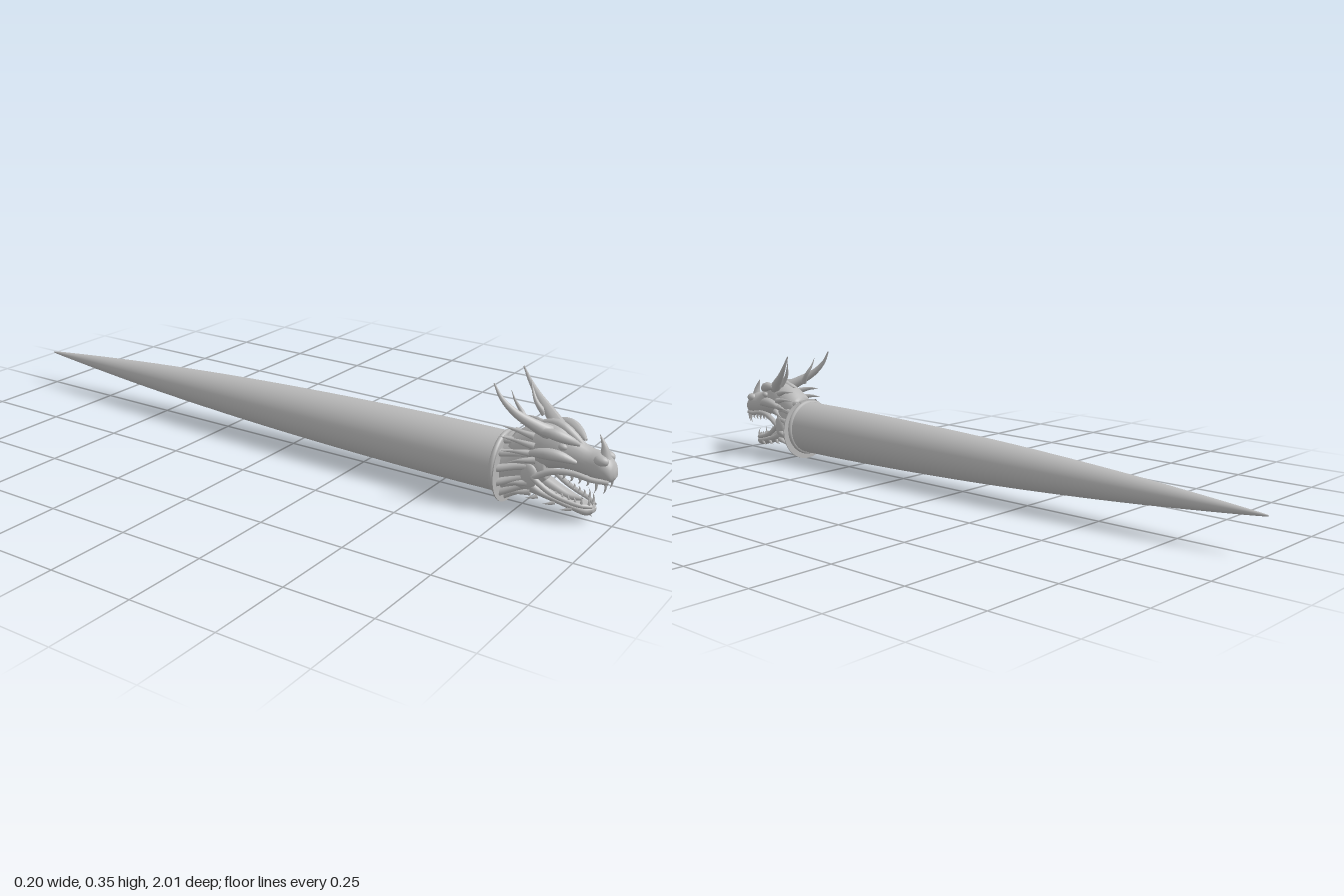
import * as THREE from 'three';

const stone = new THREE.MeshStandardMaterial({ color: 0xb8b8b8 });
stone.name = 'grey';
stone.side = THREE.DoubleSide;

const V = (x, y, z) => new THREE.Vector3(x, y, z);

function add(parent, name, geometry) {
  const m = new THREE.Mesh(geometry, stone);
  m.name = name;
  parent.add(m);
  return m;
}

// Smooth skin over cross-sections [z, bottom, top, halfWidth]; sag dents the upper side
function loft(rows, sag = 0, n = 28) {
  const curve = k => new THREE.CatmullRomCurve3(rows.map(r => V(r[k], r[0], 0)), false, 'centripetal');
  const [lo, hi, wide] = [curve(1), curve(2), curve(3)];
  const steps = (rows.length - 1) * 4, pos = [], idx = [];
  for (let i = 0; i <= steps; i++) {
    const t = i / steps, b = lo.getPoint(t), h = hi.getPoint(t).x, w = wide.getPoint(t).x;
    for (let j = 0; j < n; j++) {
      const a = j / n * Math.PI * 2, c = Math.cos(a), s = Math.sin(a);
      const dent = s > 0 ? sag * (1 - Math.abs(c)) * (h - b.x) : 0;
      pos.push(w * c, (b.x + h) / 2 + (h - b.x) / 2 * s - dent, b.y);
    }
  }
  for (let i = 0; i < steps; i++) for (let j = 0; j < n; j++) {
    const a = i * n + j, b = i * n + (j + 1) % n;
    idx.push(a, b, b + n, a, b + n, a + n);
  }
  for (const [row, flip] of [[0, 1], [steps, 0]]) {
    const o = row * n;
    for (let j = 1; j < n - 1; j++) idx.push(o, o + (flip ? j + 1 : j), o + (flip ? j : j + 1));
  }
  const g = new THREE.BufferGeometry();
  g.setAttribute('position', new THREE.Float32BufferAttribute(pos, 3));
  g.setIndex(idx);
  g.computeVertexNormals();
  return g;
}

// Curved spike or ridge: a tube whose radius follows a rule along its length
function spike(points, radius, rule = t => 1 - 0.97 * t, seg = 14, sides = 9) {
  const curve = new THREE.CatmullRomCurve3(points);
  const g = new THREE.TubeGeometry(curve, seg, radius, sides);
  const p = g.attributes.position, v = V(0, 0, 0);
  for (let i = 0; i < p.count; i++) {
    const t = Math.floor(i / (sides + 1)) / seg, c = curve.getPointAt(t);
    v.fromBufferAttribute(p, i).sub(c).multiplyScalar(rule(t)).add(c);
    p.setXYZ(i, v.x, v.y, v.z);
  }
  g.computeVertexNormals();
  return g;
}

function blob(parent, name, x, y, z, rx, ry, rz) {
  const m = add(parent, name, new THREE.SphereGeometry(1, 16, 12));
  m.position.set(x, y, z);
  m.scale.set(rx, ry, rz);
  return m;
}

const bulge = t => Math.max(0.05, Math.sin(Math.PI * (0.1 + 0.87 * t)));

export function createModel() {
  const model = new THREE.Group();
  model.name = 'dragonHeadSpike';

  // Long shaft narrowing to a point at the back
  const outline = [[0, -1], [0.004, -0.99], [0.02, -0.82], [0.038, -0.6], [0.053, -0.37], [0.065, -0.14],
    [0.074, 0.1], [0.08, 0.34], [0.083, 0.55], [0.083, 0.7]].map(p => new THREE.Vector2(...p));
  const smooth = new THREE.SplineCurve(outline).getPoints(48).map(p => new THREE.Vector2(Math.max(0, p.x), p.y));
  const shaft = add(model, 'shaft', new THREE.LatheGeometry(smooth, 48));
  shaft.rotation.x = Math.PI / 2;
  shaft.position.y = 0.107;

  // Collar ring and thin mounting disc
  const ring = add(model, 'collarRing', new THREE.TorusGeometry(0.082, 0.008, 10, 48));
  ring.position.set(0, 0.107, 0.692);
  const disc = add(model, 'mountingDisc', new THREE.CylinderGeometry(0.1, 0.1, 0.003, 56));
  disc.rotation.x = Math.PI / 2;
  disc.position.set(0, 0.1, 0.705);

  const head = new THREE.Group();
  head.name = 'head';
  model.add(head);

  // Neck, upper skull and lower jaw
  add(head, 'neck', loft([[0.7, 0.02, 0.195, 0.066], [0.73, 0.03, 0.2, 0.058], [0.77, 0.05, 0.205, 0.052],
    [0.8, 0.068, 0.2, 0.046], [0.82, 0.09, 0.19, 0.035]]));
  add(head, 'upperSkull', loft([[0.72, 0.13, 0.2, 0.045], [0.76, 0.115, 0.228, 0.05], [0.81, 0.12, 0.248, 0.052],
    [0.85, 0.128, 0.243, 0.046], [0.89, 0.13, 0.218, 0.036], [0.93, 0.125, 0.2, 0.031],
    [0.965, 0.12, 0.195, 0.034], [0.99, 0.122, 0.175, 0.027], [1, 0.135, 0.155, 0.01]]));
  add(head, 'lowerJaw', loft([[0.74, 0.045, 0.13, 0.048], [0.78, 0.046, 0.115, 0.054], [0.82, 0.042, 0.085, 0.05],
    [0.86, 0.034, 0.068, 0.043], [0.9, 0.024, 0.056, 0.036], [0.935, 0.016, 0.05, 0.027],
    [0.952, 0.028, 0.045, 0.01]], 0.4));
  add(head, 'tongue', spike([V(0, 0.085, 0.8), V(0, 0.068, 0.84), V(0, 0.055, 0.88), V(0, 0.055, 0.915)],
    0.014, t => 1 - 0.7 * t * t));

  // Nose horn, forehead crest and chin spike along the middle
  add(head, 'noseHorn', spike([V(0, 0.18, 0.968), V(0, 0.213, 0.962), V(0, 0.242, 0.948)], 0.016));
  add(head, 'foreheadCrest', spike([V(0, 0.19, 0.92), V(0, 0.222, 0.88), V(0, 0.245, 0.835), V(0, 0.232, 0.76)], 0.014, bulge));
  add(head, 'chinSpike', spike([V(0, 0.03, 0.925), V(0, 0.02, 0.938), V(0, 0.013, 0.945)], 0.009));

  for (const s of [1, -1]) {
    const P = (x, y, z) => V(s * x, y, z);
    const side = new THREE.Group();
    side.name = s > 0 ? 'leftSide' : 'rightSide';
    head.add(side);

    // Large horn with a lesser horn inside it
    add(side, 'horn', spike([P(0.03, 0.228, 0.825), P(0.052, 0.25, 0.79), P(0.073, 0.278, 0.748),
      P(0.086, 0.315, 0.712), P(0.088, 0.352, 0.69)], 0.02, t => 1 - 0.9 * t));
    add(side, 'innerHorn', spike([P(0.05, 0.245, 0.775), P(0.045, 0.275, 0.752), P(0.053, 0.305, 0.735),
      P(0.058, 0.333, 0.725)], 0.01));

    // Brow, eye, cheek, nostril and lip
    add(side, 'brow', spike([P(0.02, 0.21, 0.905), P(0.038, 0.225, 0.875), P(0.05, 0.235, 0.84), P(0.048, 0.232, 0.79)], 0.015, bulge));
    blob(side, 'eye', s * 0.041, 0.202, 0.868, 0.009, 0.009, 0.012);
    add(side, 'cheekBone', spike([P(0.033, 0.165, 0.905), P(0.047, 0.178, 0.86), P(0.055, 0.178, 0.815), P(0.056, 0.165, 0.765)], 0.016, bulge));
    blob(side, 'nostril', s * 0.022, 0.18, 0.965, 0.014, 0.014, 0.02);
    add(side, 'upperLip', spike([P(0.02, 0.126, 0.988), P(0.033, 0.128, 0.95), P(0.038, 0.136, 0.9),
      P(0.046, 0.132, 0.85), P(0.052, 0.105, 0.795)], 0.009, t => 0.75 + 0.25 * t));
    add(side, 'lowerLip', spike([P(0.01, 0.044, 0.946), P(0.028, 0.048, 0.925), P(0.038, 0.056, 0.89),
      P(0.047, 0.072, 0.845), P(0.053, 0.105, 0.795)], 0.007, t => 0.8 + 0.4 * t));
    blob(side, 'jawHinge', s * 0.049, 0.105, 0.785, 0.011, 0.034, 0.024);

    // Teeth along both jaws, the front fangs longest
    for (let i = 0; i < 7; i++) {
      const t = i / 6, long = i < 2 ? 0.034 : 0.022 - 0.008 * t;
      const ux = 0.021 + 0.022 * Math.sqrt(t), uz = 0.982 - 0.125 * t, uy = 0.126 + 0.006 * t;
      add(side, 'upperTooth', spike([P(ux, uy, uz), P(ux + 0.002, uy - long * 0.6, uz), P(ux, uy - long, uz - 0.005)], 0.0055, undefined, 6, 6));
      const lx = 0.014 + 0.03 * Math.sqrt(t), lz = 0.94 - 0.095 * t, ly = 0.044 + 0.026 * t;
      add(side, 'lowerTooth', spike([P(lx, ly, lz), P(lx + 0.002, ly + long * 0.55, lz), P(lx, ly + long * 0.9, lz - 0.004)], 0.005, undefined, 6, 6));
    }

    // Swept-back frill spikes behind the cheek
    const frill = [[0.045, 0.215, 0.79, 0.055, 0.228, 0.705], [0.05, 0.19, 0.795, 0.06, 0.2, 0.7],
      [0.052, 0.17, 0.79, 0.076, 0.168, 0.715], [0.054, 0.155, 0.8, 0.082, 0.142, 0.735],
      [0.05, 0.085, 0.78, 0.062, 0.07, 0.725], [0.045, 0.06, 0.79, 0.05, 0.04, 0.73]];
    for (const [x, y, z, X, Y, Z] of frill) {
      add(side, 'frillSpike', spike([P(x, y, z), P((x + X) / 2 + 0.006, (y + Y) / 2 + 0.004, (z + Z) / 2), P(X, Y, Z)], 0.01));
    }

    // Tendons flaring from the head to the collar
    for (let i = 0; i < 6; i++) {
      const a = -1.35 + i * 0.48, c = Math.cos(a), d = Math.sin(a);
      add(side, 'neckTendon', spike([P(0.044 * c, 0.125 + 0.06 * d, 0.795), P(0.055 * c, 0.117 + 0.077 * d, 0.745),
        P(0.074 * c, 0.107 + 0.09 * d, 0.702)], 0.01, t => 0.8 + 0.3 * t));
    }

    // Small spikes under the jaw
    for (let i = 0; i < 3; i++) {
      const z = 0.9 - 0.045 * i, y = 0.036 + 0.008 * i, x = 0.03 + 0.007 * i;
      add(side, 'jawSpike', spike([P(x, y, z), P(x + 0.008, y - 0.004, z - 0.012), P(x + 0.01, y - 0.008, z - 0.028)], 0.007, undefined, 6, 6));
    }
  }
  return model;
}
